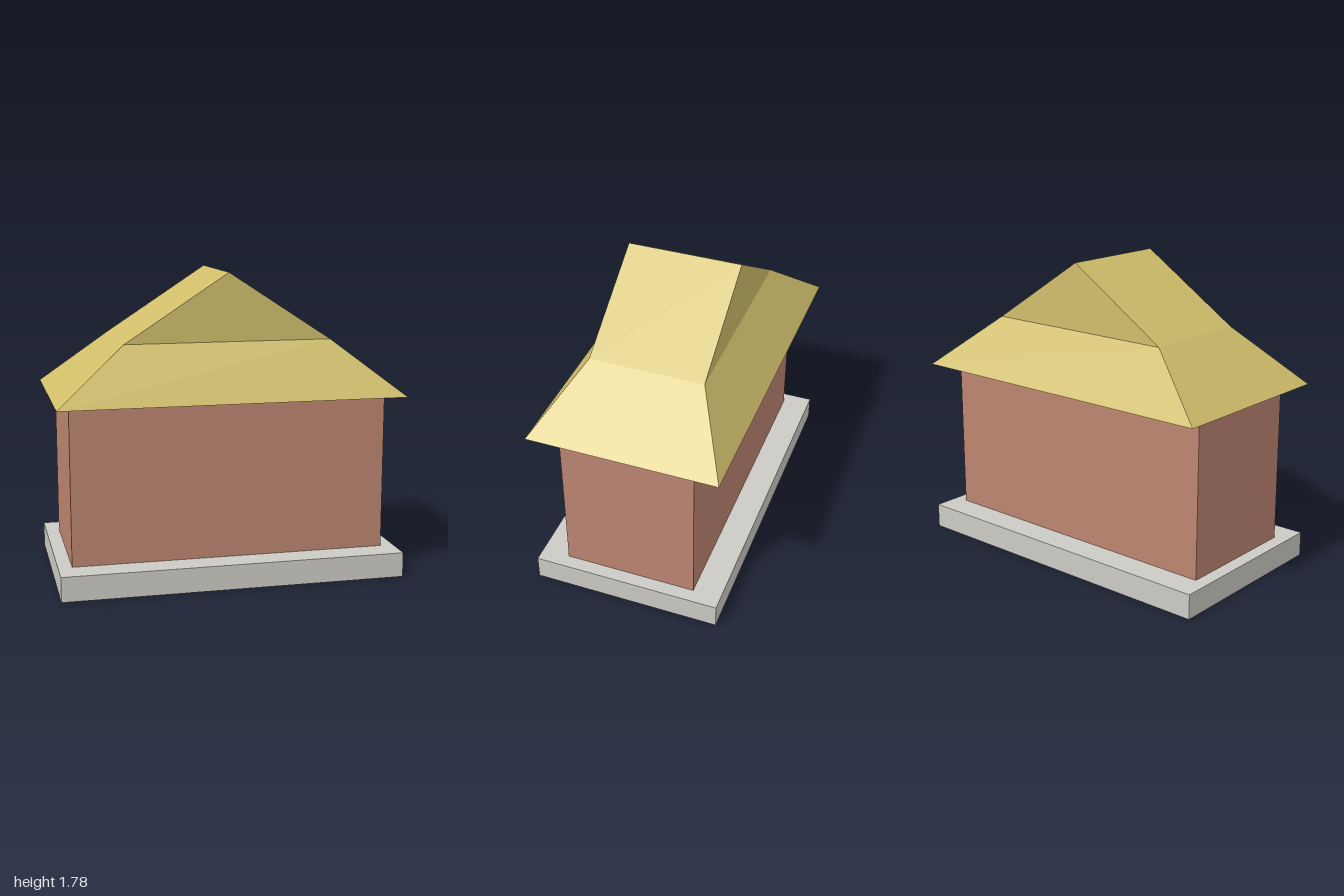
import * as THREE from 'three';

const stone = new THREE.MeshStandardMaterial({ color: 0xcccac4 });
const brick = new THREE.MeshStandardMaterial({ color: 0xbc8570 });
const thatch = new THREE.MeshStandardMaterial({ color: 0xd0be6a, side: THREE.DoubleSide, flatShading: true });

function block(name, w, h, d, y0, material) {
  const mesh = new THREE.Mesh(new THREE.BoxGeometry(w, h, d), material);
  mesh.name = name;
  mesh.position.y = y0 + h / 2;
  return mesh;
}

// Flat convex panel from corners listed counter-clockwise seen from outside
function panel(name, corners) {
  const points = [];
  for (let i = 1; i < corners.length - 1; i++) points.push(...corners[0], ...corners[i], ...corners[i + 1]);
  const geometry = new THREE.BufferGeometry();
  geometry.setAttribute('position', new THREE.Float32BufferAttribute(points, 3));
  geometry.computeVertexNormals();
  const mesh = new THREE.Mesh(geometry, thatch);
  mesh.name = name;
  return mesh;
}

// Half of the roof: one long side and one end; the other half is this turned by 180 degrees
function roofHalf() {
  const eave = { x: 1, y: 1.07, z: 0.555 };
  const fold = { x: 0.6, y: 1.39, z: 0.333 };
  const ridgeY = 1.78;
  const half = new THREE.Group();
  half.add(
    panel('longSkirt', [
      [-eave.x, eave.y, eave.z], [eave.x, eave.y, eave.z],
      [fold.x, fold.y, fold.z], [-fold.x, fold.y, fold.z],
    ]),
    panel('endSkirt', [
      [eave.x, eave.y, eave.z], [eave.x, eave.y, -eave.z],
      [fold.x, fold.y, -fold.z], [fold.x, fold.y, fold.z],
    ]),
    panel('upperSlope', [
      [fold.x, fold.y, fold.z], [fold.x, fold.y, -fold.z],
      [0, ridgeY, -fold.z], [0, ridgeY, fold.z],
    ]),
    panel('gable', [
      [-fold.x, fold.y, fold.z], [fold.x, fold.y, fold.z], [0, ridgeY, fold.z],
    ]),
  );
  return half;
}

export function createModel() {
  const house = new THREE.Group();
  house.name = 'house';
  house.add(block('plinth', 2, 0.145, 1.11, 0, stone));
  house.add(block('walls', 1.84, 0.925, 0.78, 0.145, brick));

  // Hip-and-gable roof, open underneath
  const roof = new THREE.Group();
  roof.name = 'roof';
  for (const turn of [0, Math.PI]) {
    const half = roofHalf();
    half.name = turn ? 'roofBackHalf' : 'roofFrontHalf';
    half.rotation.y = turn;
    roof.add(half);
  }
  house.add(roof);
  return house;
}
